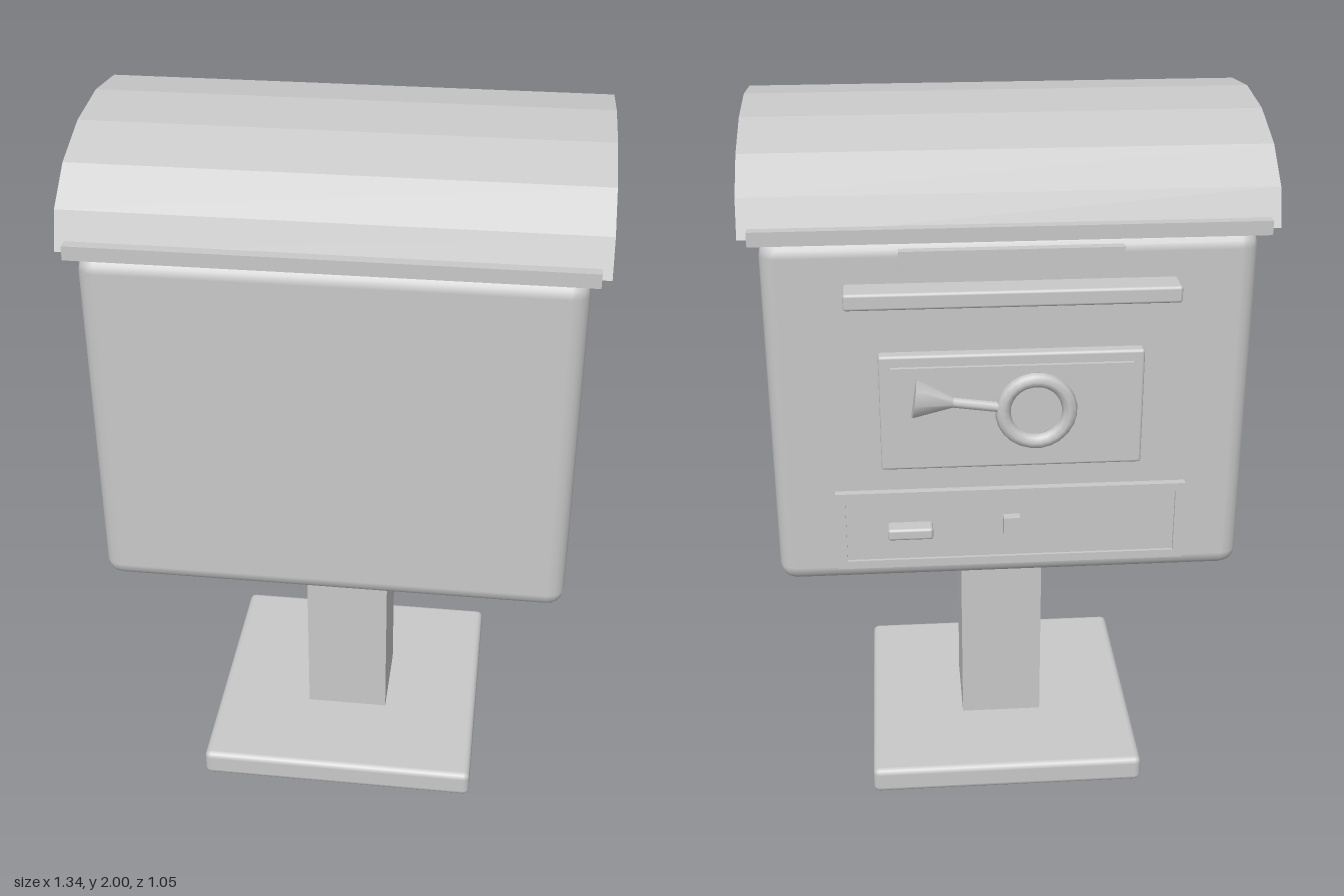
import * as THREE from 'three';
import { RoundedBoxGeometry } from 'three/addons/geometries/RoundedBoxGeometry.js';

export function createModel() {
  const model = new THREE.Group();
  model.name = 'mailbox';
  const paint = new THREE.MeshStandardMaterial({ name: 'grey paint', color: 0xc8c8c8 });

  const add = (name, geometry, x = 0, y = 0, z = 0, parent = model) => {
    const mesh = new THREE.Mesh(geometry, paint);
    mesh.name = name;
    mesh.position.set(x, y, z);
    parent.add(mesh);
    return mesh;
  };
  // Box given by its limits on each axis; radius > 0 rounds the edges
  const box = (name, [x0, x1], [y0, y1], [z0, z1], radius = 0) => {
    const size = [x1 - x0, y1 - y0, z1 - z0];
    const geometry = radius
      ? new RoundedBoxGeometry(...size, 2, radius)
      : new THREE.BoxGeometry(...size);
    return add(name, geometry, (x0 + x1) / 2, (y0 + y1) / 2, (z0 + z1) / 2);
  };

  // Stand and body
  box('basePlate', [-0.4, 0.4], [0, 0.08], [-0.36, 0.44], 0.018);
  box('post', [-0.12, 0.12], [0.07, 0.71], [-0.08, 0.16]);
  box('collar', [-0.2, 0.2], [0.695, 0.775], [-0.16, 0.24], 0.015);
  box('body', [-0.625, 0.625], [0.775, 1.74], [-0.42, 0.505], 0.045);
  box('roofTrim', [-0.645, 0.645], [1.738, 1.775], [-0.447, 0.523]);

  // Faceted half-ellipse roof, extruded across the width
  const arch = [];
  for (let i = 0; i <= 8; i++) {
    const a = (i / 8) * Math.PI;
    arch.push(new THREE.Vector2(-0.037 + 0.465 * Math.cos(a), 1.75 + 0.25 * Math.sin(a)));
  }
  const roof = new THREE.ExtrudeGeometry(new THREE.Shape(arch), { depth: 1.34, bevelEnabled: false });
  roof.translate(0, 0, -0.67).rotateY(Math.PI / 2);
  add('roof', roof);

  // Letter slot on the back
  box('namePlate', [-0.28, 0.28], [1.66, 1.715], [-0.44, -0.41]);
  box('slotHood', [-0.42, 0.42], [1.583, 1.627], [-0.495, -0.41], 0.008);
  box('slot', [-0.39, 0.39], [1.52, 1.59], [-0.455, -0.41]);

  // Raised panel carrying the horn
  box('hornPlate', [-0.34, 0.34], [1.123, 1.443], [-0.45, -0.41], 0.008);
  box('hornPanel', [-0.31, 0.31], [1.158, 1.413], [-0.46, -0.44]);

  // Horn: coiled ring, tube and flared bell
  const horn = new THREE.Group();
  horn.name = 'horn';
  horn.position.set(-0.06, 1.293, -0.474);
  horn.rotation.z = 0.14;
  model.add(horn);
  add('hornRing', new THREE.TorusGeometry(0.086, 0.02, 8, 24), 0, 0, 0, horn);
  const tube = new THREE.CylinderGeometry(0.014, 0.014, 0.14, 8).rotateZ(Math.PI / 2);
  add('hornTube', tube, 0.155, 0, 0, horn);
  const bell = new THREE.CylinderGeometry(0.014, 0.053, 0.1, 8).rotateZ(Math.PI / 2);
  add('hornBell', bell, 0.265, 0, 0, horn);

  // Collection door: framed panel with handle and lock
  const rect = (Path, w, h) => new Path([
    new THREE.Vector2(-w, -h), new THREE.Vector2(w, -h),
    new THREE.Vector2(w, h), new THREE.Vector2(-w, h),
  ]);
  const frame = rect(THREE.Shape, 0.465, 0.113);
  frame.holes.push(rect(THREE.Path, 0.44, 0.09));
  add('doorFrame', new THREE.ExtrudeGeometry(frame, { depth: 0.03, bevelEnabled: false }), 0, 0.938, -0.44);
  box('doorPanel', [-0.445, 0.445], [0.845, 1.03], [-0.432, -0.41]);
  box('doorHandle', [0.21, 0.33], [0.925, 0.958], [-0.475, -0.42], 0.008);
  box('doorLock', [-0.022, 0.022], [0.915, 0.972], [-0.457, -0.42]);

  return model;
}
